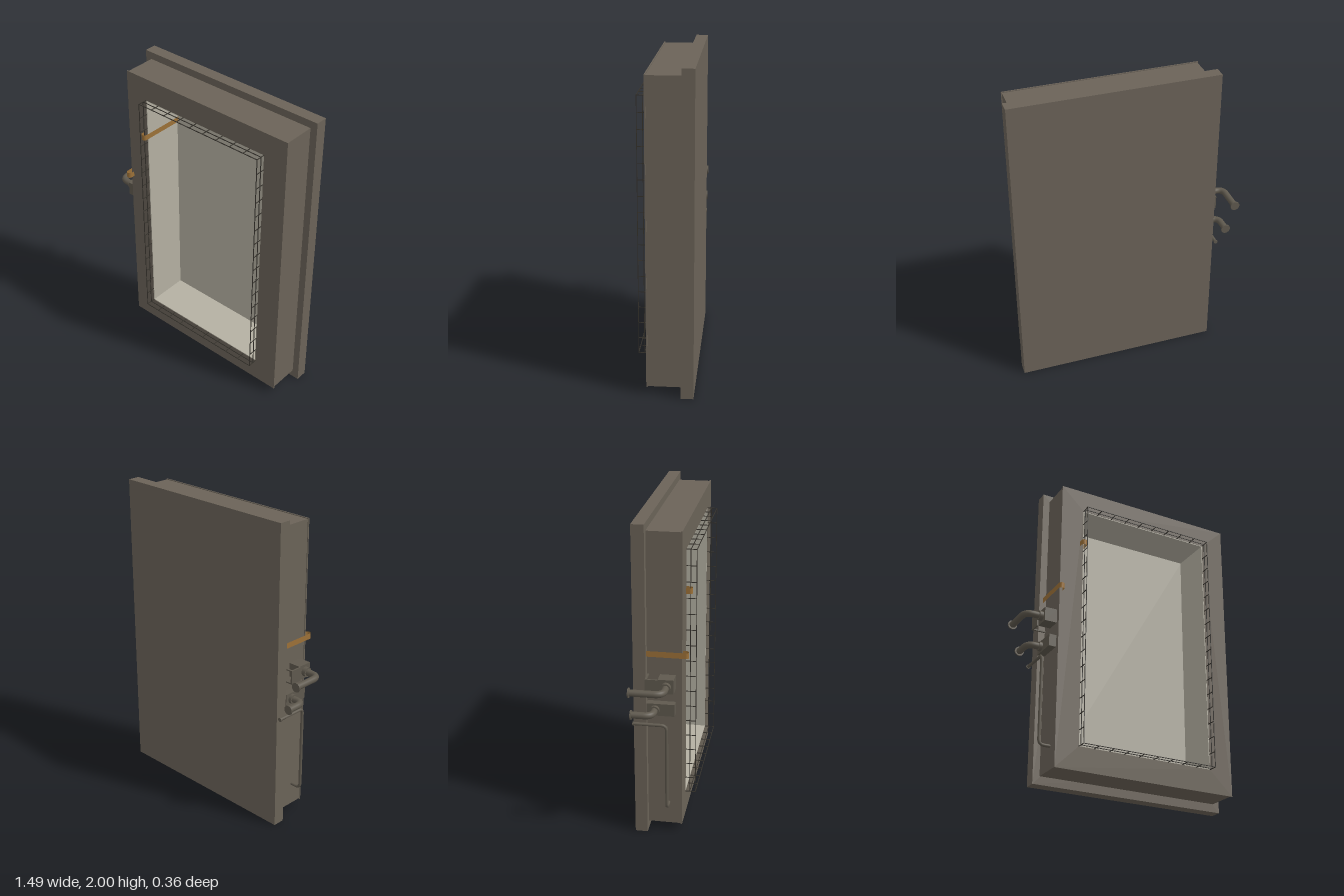
import * as THREE from 'three';

export function createModel() {
  const root = new THREE.Group();
  const mat = (name, color, side = THREE.FrontSide) => {
    const m = new THREE.MeshStandardMaterial({ color, side });
    m.name = name;
    return m;
  };
  const casing = mat('casing grey brown', 0x6b6358);
  const cream = mat('cream lining', 0xb4b0a2);
  const metal = mat('dark pipe metal', 0x5f594e);
  const wire = mat('dark wire', 0x35322c);
  const ochre = mat('ochre strap', 0x9c7138, THREE.DoubleSide);

  const add = (parent, name, geo, material) => {
    const m = new THREE.Mesh(geo, material);
    m.name = name;
    parent.add(m);
    return m;
  };
  // box given by its min and max corners
  const box = (parent, name, material, x0, x1, y0, y1, z0, z1) => {
    const m = add(parent, name, new THREE.BoxGeometry(x1 - x0, y1 - y0, z1 - z0), material);
    m.position.set((x0 + x1) / 2, (y0 + y1) / 2, (z0 + z1) / 2);
    return m;
  };
  const group = (name) => {
    const g = new THREE.Group();
    g.name = name;
    root.add(g);
    return g;
  };

  // opening of the cabinet
  const L = -0.375, R = 0.54, B = 0.2, T = 1.81;
  const frame = (name, x0, x1, y0, y1, z0, z1) => {
    const s = new THREE.Shape();
    s.moveTo(x0, y0).lineTo(x1, y0).lineTo(x1, y1).lineTo(x0, y1).closePath();
    const h = new THREE.Path();
    h.moveTo(L, B).lineTo(L, T).lineTo(R, T).lineTo(R, B).closePath();
    s.holes.push(h);
    const geo = new THREE.ExtrudeGeometry(s, { depth: z1 - z0, bevelEnabled: false });
    geo.translate(0, 0, z0);
    add(root, name, geo, casing);
  };
  frame('rearFlange', -0.57, 0.74, 0, 2, -0.162, -0.098);
  frame('cabinetBody', -0.525, 0.695, 0.053, 1.953, -0.098, 0.106);
  frame('frontLip', -0.53, 0.7, 0.048, 1.958, 0.106, 0.114);
  box(root, 'backPanel', casing, -0.57, 0.74, 0, 2, -0.175, -0.162);

  // pale lining of the recess
  const lining = group('lining');
  const t = 0.005, z0 = -0.162, z1 = 0.113;
  box(lining, 'liningBack', cream, L, R, B, T, z0, z0 + t);
  box(lining, 'liningRight', cream, L, L + t, B, T, z0, z1);
  box(lining, 'liningLeft', cream, R - t, R, B, T, z0, z1);
  box(lining, 'liningFloor', cream, L, R, B, B + t, z0, z1);
  box(lining, 'liningTop', cream, L, R, T - t, T, z0, z1);

  // thin wire guard standing out around the opening
  const guard = group('wireGuard');
  const w = 0.002, zf = 0.176;
  for (const z of [0.14, zf]) {
    for (const y of [B, T]) box(guard, 'guardRail', wire, L - w, R + w, y - w, y + w, z - w, z + w);
    for (const x of [L, R]) box(guard, 'guardPost', wire, x - w, x + w, B, T, z - w, z + w);
  }
  for (let i = 0; i <= 9; i++) {
    const x = L + (R - L) * i / 9;
    for (const y of [B, T]) box(guard, 'guardRung', wire, x - w, x + w, y - w, y + w, 0.11, zf);
  }
  for (let i = 1; i < 16; i++) {
    const y = B + (T - B) * i / 16;
    for (const x of [L, R]) box(guard, 'guardRung', wire, x - w, x + w, y - w, y + w, 0.11, zf);
  }

  // U-shaped straps hooked over the edges: plane rows bent along a path in x and z
  const strap = (name, cx, y, zLong, zShort, longSide) => {
    const r = 0.018, n = 14;
    const geo = new THREE.PlaneGeometry(1, 0.036, n, 1);
    const p = geo.attributes.position;
    for (let i = 0; i < p.count; i++) {
      const k = i % (n + 1);
      let x, z;
      if (k === 0) { x = r; z = zLong; }
      else if (k === n) { x = -r; z = zShort; }
      else {
        const a = Math.PI * (k - 1) / (n - 2);
        x = r * Math.cos(a);
        z = 0.136 + r * Math.sin(a);
      }
      p.setXYZ(i, cx + longSide * x, y + p.getY(i), z);
    }
    geo.computeVertexNormals();
    add(root, name, geo, ochre);
  };
  strap('innerStrap', -0.378, 1.56, -0.155, 0.114, 1);
  strap('outerStrap', -0.528, 1.21, -0.098, 0.114, -1);

  // pipe through points with rounded bends
  const pipe = (parent, name, pts, radius, bend) => {
    const v = pts.map((a) => new THREE.Vector3(...a));
    const path = new THREE.CurvePath();
    let from = v[0];
    for (let i = 1; i < v.length - 1; i++) {
      const a = v[i].clone().add(v[i - 1].clone().sub(v[i]).setLength(bend));
      const b = v[i].clone().add(v[i + 1].clone().sub(v[i]).setLength(bend));
      path.add(new THREE.LineCurve3(from, a));
      path.add(new THREE.QuadraticBezierCurve3(a, v[i], b));
      from = b;
    }
    path.add(new THREE.LineCurve3(from, v[v.length - 1]));
    add(parent, name, new THREE.TubeGeometry(path, 48, radius, 16, false), metal);
  };
  const disc = (parent, name, x, y, z, r, h, axis) => {
    const m = add(parent, name, new THREE.CylinderGeometry(r, r, h, 20), metal);
    m.position.set(x, y, z);
    if (axis === 'z') m.rotation.x = Math.PI / 2;
    else m.rotation.z = Math.PI / 2;
  };

  // two elbow pipes on the side, with mounts, collars and end flanges
  const pipes = group('sidePipes');
  for (const [name, x, y, z, base] of [
    ['upperPipe', -0.715, 1.03, 0.03, -0.6],
    ['lowerPipe', -0.66, 0.86, -0.045, -0.56],
  ]) {
    pipe(pipes, name, [[base, y, z], [x, y, z], [x, y, -0.172]], 0.021, 0.055);
    disc(pipes, name + 'Flange', x, y, -0.173, 0.03, 0.008, 'z');
    disc(pipes, name + 'Collar', base - 0.015, y, z, 0.03, 0.03, 'x');
  }
  box(pipes, 'upperMount', metal, -0.605, -0.525, 0.985, 1.075, -0.02, 0.075);
  box(pipes, 'lowerMount', metal, -0.572, -0.525, 0.822, 0.9, -0.095, 0.075);
  // open bracket behind the upper mount
  box(pipes, 'bracketFace', metal, -0.615, -0.605, 0.985, 1.075, -0.097, -0.02);
  for (const y of [0.985, 1.067]) box(pipes, 'bracketArm', metal, -0.605, -0.525, y, y + 0.008, -0.097, -0.085);

  // slim drain line running down the side
  pipe(pipes, 'drainLine', [[-0.595, 0.77, -0.176], [-0.595, 0.77, 0.03], [-0.595, 0.2, 0.03], [-0.525, 0.2, 0.03]], 0.01, 0.03);
  disc(pipes, 'drainEnd', -0.595, 0.77, -0.173, 0.013, 0.008, 'z');
  return root;
}
